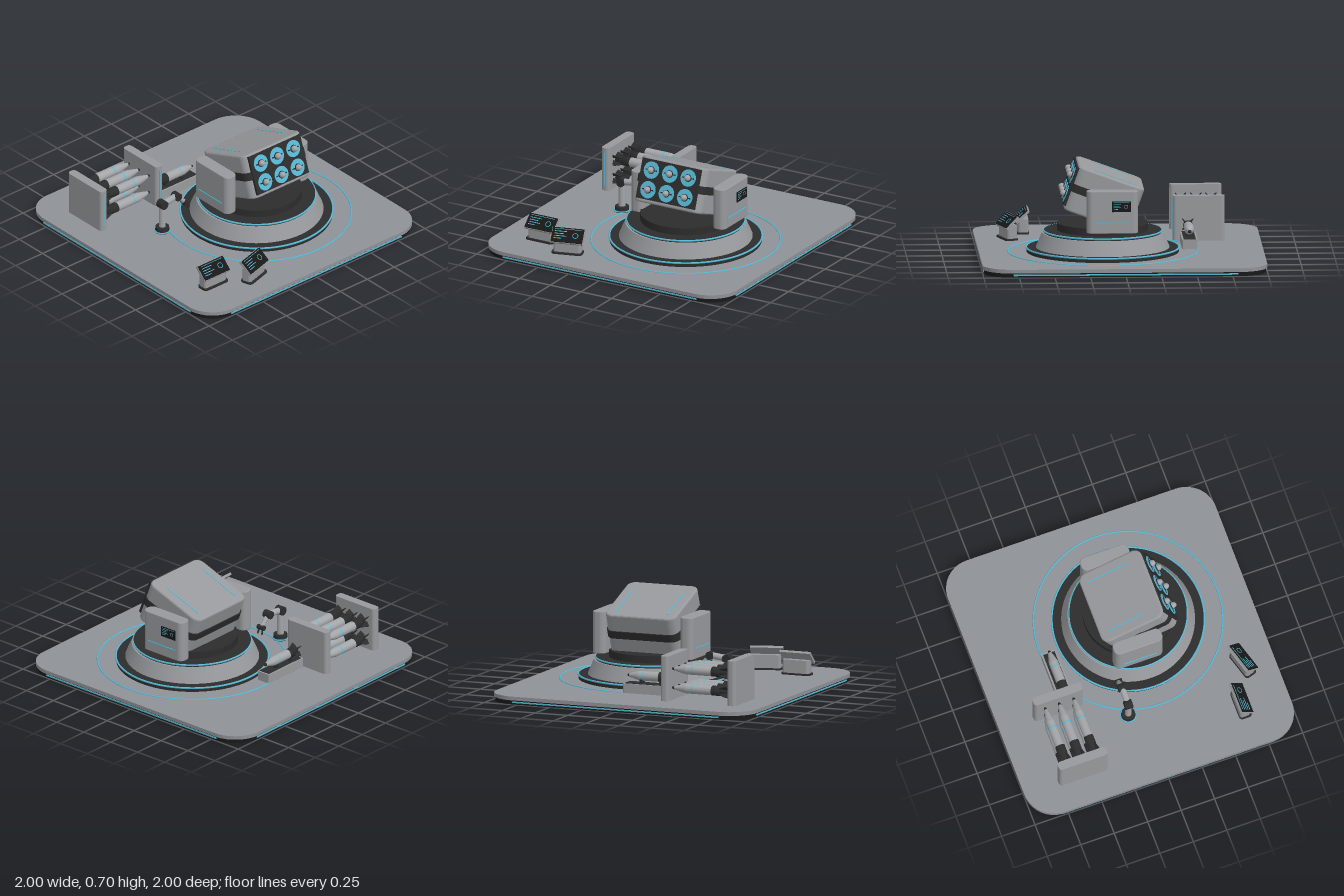
import * as THREE from 'three';

const mat = (name, color, side = THREE.FrontSide) => {
  const m = new THREE.MeshStandardMaterial({ color, side });
  m.name = name;
  return m;
};

export function createModel() {
  const floorGrey = mat('floor grey', 0x8e9196);
  const grey = mat('armour grey', 0x97999c);
  const light = mat('missile grey', 0xa3a5a8);
  const dark = mat('dark metal', 0x2c2c2d);
  const black = mat('underside black', 0x181818);
  const cyan = mat('cyan light', 0x56b8d4);

  const root = new THREE.Group();
  root.name = 'missileLauncherPlatform';

  const group = (name, parent, x = 0, y = 0, z = 0) => {
    const g = new THREE.Group();
    g.name = name;
    g.position.set(x, y, z);
    parent.add(g);
    return g;
  };
  const add = (name, parent, geo, material, x = 0, y = 0, z = 0) => {
    const m = new THREE.Mesh(geo, material);
    m.name = name;
    m.position.set(x, y, z);
    parent.add(m);
    return m;
  };
  const box = (w, h, d) => new THREE.BoxGeometry(w, h, d);
  const cyl = (rt, rb, h, n = 48) => new THREE.CylinderGeometry(rt, rb, h, n);

  // Rounded rectangle in plan, standing from y = 0 to y = h
  const slab = (w, d, r, h, bevel = 0) => {
    const a = w / 2 - bevel, b = d / 2 - bevel;
    r = Math.max(r - bevel, 0.004);
    const s = new THREE.Shape();
    s.moveTo(a, -b + r);
    s.absarc(a - r, b - r, r, 0, Math.PI / 2);
    s.absarc(-a + r, b - r, r, Math.PI / 2, Math.PI);
    s.absarc(-a + r, -b + r, r, Math.PI, Math.PI * 1.5);
    s.absarc(a - r, -b + r, r, Math.PI * 1.5, Math.PI * 2);
    const g = new THREE.ExtrudeGeometry(s, {
      depth: h - 2 * bevel, curveSegments: 10, bevelEnabled: bevel > 0,
      bevelSize: bevel, bevelThickness: bevel, bevelSegments: 3,
    });
    return g.translate(0, 0, bevel).rotateX(-Math.PI / 2);
  };
  const ring = (name, parent, r, t, y) =>
    add(name, parent, new THREE.TorusGeometry(r, t, 8, 96).rotateX(Math.PI / 2), cyan, 0, y, 0);

  // Platform with light strips on all four edges
  const platform = group('platform', root);
  add('platformBase', platform, slab(1.98, 1.98, 0.21, 0.03), black);
  add('platformDeck', platform, slab(2, 2, 0.22, 0.027), floorGrey, 0, 0.03, 0);
  for (let i = 0; i < 4; i++) {
    const side = group('edgeLight', platform);
    side.rotation.y = i * Math.PI / 2;
    add('edgeStrip', side, box(1.58, 0.01, 0.008), cyan, 0, 0.016, 0.991);
  }

  // Round turret base
  const turret = group('turret', root, 0.19, 0, 0.13);
  ring('floorRing', turret, 0.665, 0.006, 0.058);
  add('baseDisc', turret, cyl(0.535, 0.535, 0.032, 96), dark, 0, 0.072, 0);
  ring('lowerRing', turret, 0.536, 0.007, 0.086);
  add('baseCone', turret, cyl(0.425, 0.47, 0.105, 96), grey, 0, 0.14, 0);
  add('upperDisc', turret, cyl(0.412, 0.412, 0.022, 96), dark, 0, 0.201, 0);
  ring('upperRing', turret, 0.414, 0.007, 0.206);
  add('turntable', turret, cyl(0.32, 0.32, 0.055, 64), dark, 0, 0.236, 0);

  // Side arms with pivots and light strips
  for (const s of [-1, 1]) {
    const arm = group(s > 0 ? 'leftArm' : 'rightArm', turret, s * 0.335, 0.24, -0.052);
    add('armPanel', arm, slab(0.1, 0.36, 0.04, 0.3, 0.006), grey);
    add('armStrip', arm, box(0.008, 0.008, 0.25), cyan, s * 0.051, 0.077, 0);
    add('armPivot', arm, cyl(0.07, 0.07, 0.07, 32).rotateZ(Math.PI / 2), dark, -s * 0.055, 0.2, 0.052);
  }

  // Text-free display: bars on one half, a dial on the other
  const display = (parent, w, h) => {
    add('screen', parent, box(w, h, 0.008), black);
    for (let i = 0; i < 4; i++) {
      const bw = w * [0.38, 0.3, 0.4, 0.24][i];
      add('screenBar', parent, box(bw, h * 0.045, 0.004), cyan, -w * 0.42 + bw / 2, h * (0.24 - i * 0.16), 0.004);
    }
    add('screenDial', parent, new THREE.TorusGeometry(h * 0.17, h * 0.022, 6, 20), cyan, w * 0.25, 0, 0.004);
    add('screenLine', parent, box(w * 0.84, h * 0.03, 0.004), cyan, 0, h * 0.4, 0.004);
  };
  const armScreen = group('armScreen', turret, 0.387, 0.432, -0.115);
  armScreen.rotation.y = Math.PI / 2;
  display(armScreen, 0.13, 0.075);

  // Launcher pod, pitched upward
  const pod = group('launcherPod', turret, 0, 0.463, 0);
  pod.rotation.x = -20 * Math.PI / 180;
  add('podBody', pod, slab(0.54, 0.49, 0.06, 0.325, 0.014), grey, 0, -0.1625, 0);
  add('podBand', pod, slab(0.556, 0.506, 0.066, 0.056), dark, 0, -0.022, 0);
  add('podFace', pod, box(0.475, 0.285, 0.036), dark, 0, 0.006, 0.24);
  for (const s of [-1, 1]) add('podTopStrip', pod, box(0.008, 0.006, 0.31), cyan, s * 0.195, 0.162, -0.03);
  for (let c = -1; c <= 1; c++) for (const r of [-1, 1]) {
    const tube = group('launchTube', pod, c * 0.15, r * 0.07 + 0.004, 0.258);
    add('tubeLight', tube, cyl(0.061, 0.061, 0.008, 36).rotateX(Math.PI / 2), cyan);
    add('tubeSlot', tube, box(0.095, 0.008, 0.004), dark, 0, 0, 0.004);
    add('tubeCollar', tube, cyl(0.027, 0.027, 0.008, 24).rotateX(Math.PI / 2), dark, 0, 0, 0.006);
    add('missileTip', tube, new THREE.SphereGeometry(0.023, 20, 12), light, 0, 0, 0.012).scale.z = 1.3;
  }

  // Missile lying along +x, tail at the origin
  const missile = (parent, x, y, z, len) => {
    const g = group('missile', parent, x, y, z);
    const k = len / 0.455;
    const lathe = pts => new THREE.LatheGeometry(pts.map(p => new THREE.Vector2(p[0], p[1] * k)), 24).rotateZ(-Math.PI / 2);
    add('missileNozzle', g, lathe([[0, 0.02], [0.018, 0.02], [0.028, 0.08]]), dark);
    add('missileCollar', g, lathe([[0, 0.078], [0.035, 0.078], [0.035, 0.14]]), dark);
    add('missileBody', g, lathe([[0.034, 0.14], [0.034, 0.335]]), light);
    add('missileNose', g, lathe([[0.034, 0.335], [0.026, 0.375], [0.012, 0.43]]), light);
    add('missileTip', g, lathe([[0.012, 0.43], [0.006, 0.45], [0, 0.455]]), dark);
    add('missileBand', g, lathe([[0.0355, 0.282], [0.0355, 0.292]]), cyan);
    const fin = new THREE.Shape([[0, 0.015], [0.01, 0.055], [0.035, 0.05], [0.09, 0.03], [0.09, 0.015]]
      .map(p => new THREE.Vector2(p[0] * k, p[1])));
    const finGeo = new THREE.ExtrudeGeometry(fin, { depth: 0.006, bevelEnabled: false }).translate(0, 0, -0.003);
    for (let i = 0; i < 4; i++)
      add('missileFin', g, finGeo, dark).rotation.x = Math.PI / 4 + i * Math.PI / 2;
  };

  // Missile rack
  const rack = group('missileRack', root);
  for (const x of [-0.777, -0.265]) {
    add('rackPanel', rack, slab(0.064, 0.365, 0.025, 0.32), grey, x, 0.056, -0.563);
    add('rackStrip', rack, box(0.007, 0.25, 0.006), cyan, x, 0.22, -0.38);
  }
  for (const y of [0.28, 0.145]) for (const z of [-0.67, -0.565, -0.457]) missile(rack, -0.745, y, z, 0.455);

  // Loading tray
  const tray = group('loadingTray', root, -0.045, 0.056, -0.485);
  add('trayBody', tray, slab(0.37, 0.11, 0.01, 0.068), grey);
  add('trayTop', tray, box(0.345, 0.008, 0.085), dark, 0, 0.068, 0);
  for (const x of [-0.09, 0.06]) add('trayCradle', tray, box(0.02, 0.04, 0.05), dark, x, 0.085, 0);
  missile(tray, -0.185, 0.122, 0, 0.36);

  // Robot loading arm
  const robot = group('loadingArm', root, -0.475, 0, -0.112);
  const link = (name, a, b, r, material) => {
    const p = new THREE.Vector3(...a), q = new THREE.Vector3(...b);
    const m = add(name, robot, cyl(r, r, p.distanceTo(q), 20), material);
    m.position.copy(p).lerp(q, 0.5);
    m.quaternion.setFromUnitVectors(new THREE.Vector3(0, 1, 0), q.sub(p).normalize());
  };
  add('robotBase', robot, cyl(0.048, 0.052, 0.04, 32), dark, 0, 0.076, 0);
  ring('robotRing', robot, 0.054, 0.005, 0.066);
  link('robotColumn', [0, 0.09, 0], [0, 0.275, 0], 0.024, light);
  link('robotUpperLink', [0, 0.275, 0], [0.13, 0.292, 0], 0.023, light);
  link('robotLowerLink', [0.13, 0.292, 0], [0.205, 0.215, 0], 0.016, light);
  for (const [x, y, r] of [[0, 0.275, 0.032], [0.13, 0.29, 0.029], [0.205, 0.215, 0.018]])
    add('robotJoint', robot, cyl(r, r, 0.058, 24).rotateX(Math.PI / 2), dark, x, y, 0);
  for (const s of [-1, 1]) link('gripperFinger', [0.205, 0.215, s * 0.014], [0.222, 0.17, s * 0.02], 0.006, dark);

  // Control consoles
  for (const [x, z, yaw] of [[-0.67, 0.66, 0], [-0.39, 0.775, 0.29]]) {
    const desk = group('console', root, x, 0.056, z);
    desk.rotation.y = yaw;
    add('consoleFoot', desk, slab(0.22, 0.095, 0.025, 0.014), dark);
    add('consoleBody', desk, slab(0.2, 0.075, 0.02, 0.095), grey, 0, 0.012, -0.005);
    const head = group('consoleHead', desk, 0, 0.125, 0);
    head.rotation.x = -0.8;
    add('consoleFrame', head, box(0.235, 0.12, 0.018), grey);
    const screen = group('consoleScreen', head, 0, 0, 0.01);
    display(screen, 0.228, 0.113);
  }
  return root;
}
